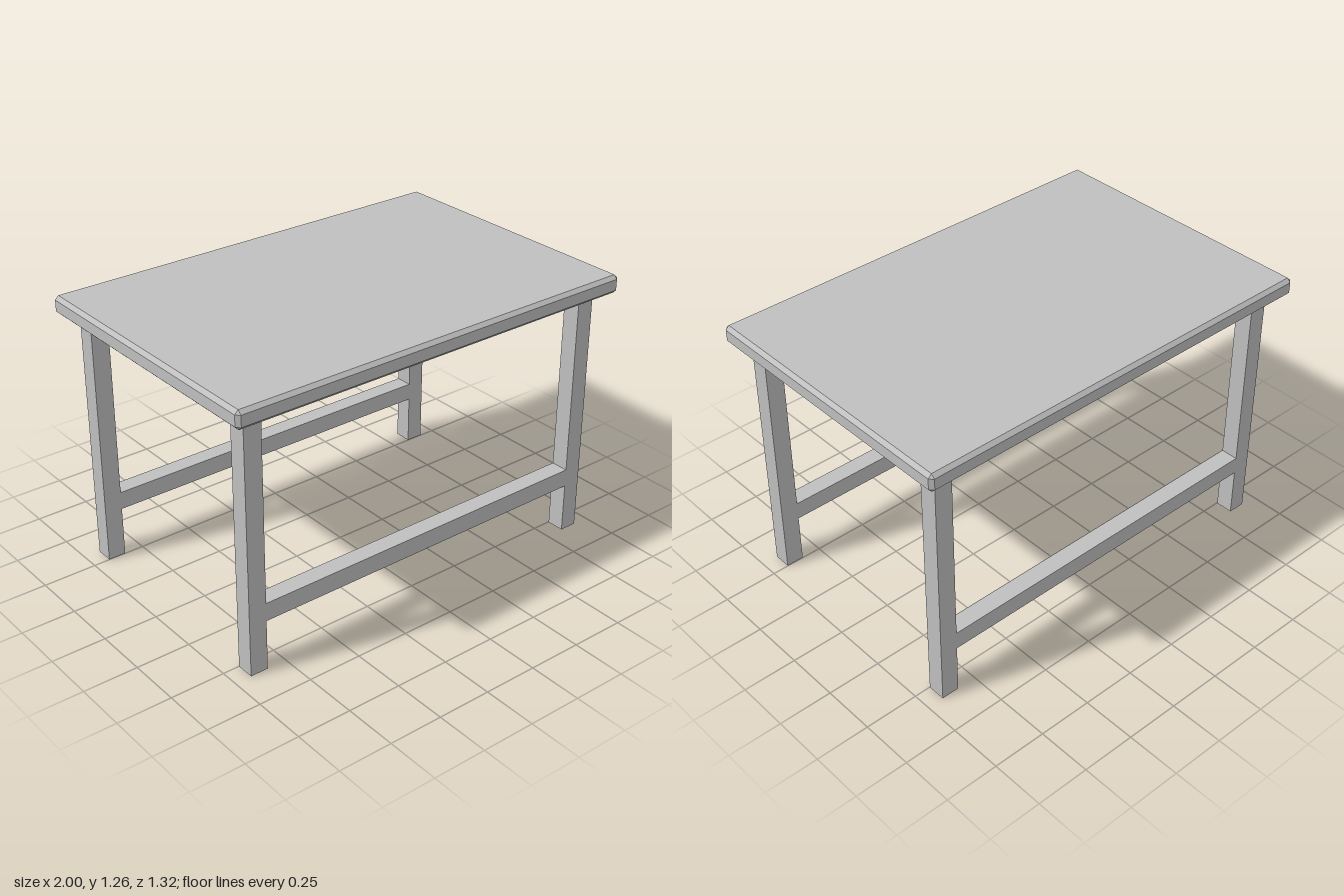
import * as THREE from 'three';
import { ConvexGeometry } from 'three/addons/geometries/ConvexGeometry.js';

const grey = new THREE.MeshStandardMaterial({ color: 0xbfbfbf });
grey.name = 'plain grey';

// Box with every edge and corner cut at 45 degrees
function chamferedBox(w, h, d, c) {
  const points = [];
  const [x, y, z] = [w / 2, h / 2, d / 2];
  for (const sx of [-1, 1]) for (const sy of [-1, 1]) for (const sz of [-1, 1]) {
    points.push(
      new THREE.Vector3(sx * x, sy * (y - c), sz * (z - c)),
      new THREE.Vector3(sx * (x - c), sy * y, sz * (z - c)),
      new THREE.Vector3(sx * (x - c), sy * (y - c), sz * z)
    );
  }
  return new ConvexGeometry(points);
}

export function createModel() {
  const table = new THREE.Group();
  table.name = 'table';

  const add = (name, geometry, x, y, z) => {
    const mesh = new THREE.Mesh(geometry, grey);
    mesh.name = name;
    mesh.position.set(x, y, z);
    table.add(mesh);
  };

  const legSize = 0.083, legX = 0.882, legZ = 0.543;
  const underside = 1.175, topThickness = 0.084;

  // Tabletop
  add('tabletop', chamferedBox(2, topThickness, 1.322, 0.0165), 0, underside + topThickness / 2, 0);

  // Legs
  const leg = new THREE.BoxGeometry(legSize, underside, legSize);
  for (const [side, sx] of [['Left', 1], ['Right', -1]]) {
    for (const [end, sz] of [['front', 1], ['back', -1]]) {
      add(`${end}${side}Leg`, leg, sx * legX, underside / 2, sz * legZ);
    }
  }

  // Long rails, flush with the legs
  const rail = new THREE.BoxGeometry(2 * legX - legSize, 0.084, legSize);
  add('frontRail', rail, 0, 0.276, legZ);
  add('backRail', rail, 0, 0.276, -legZ);

  return table;
}
